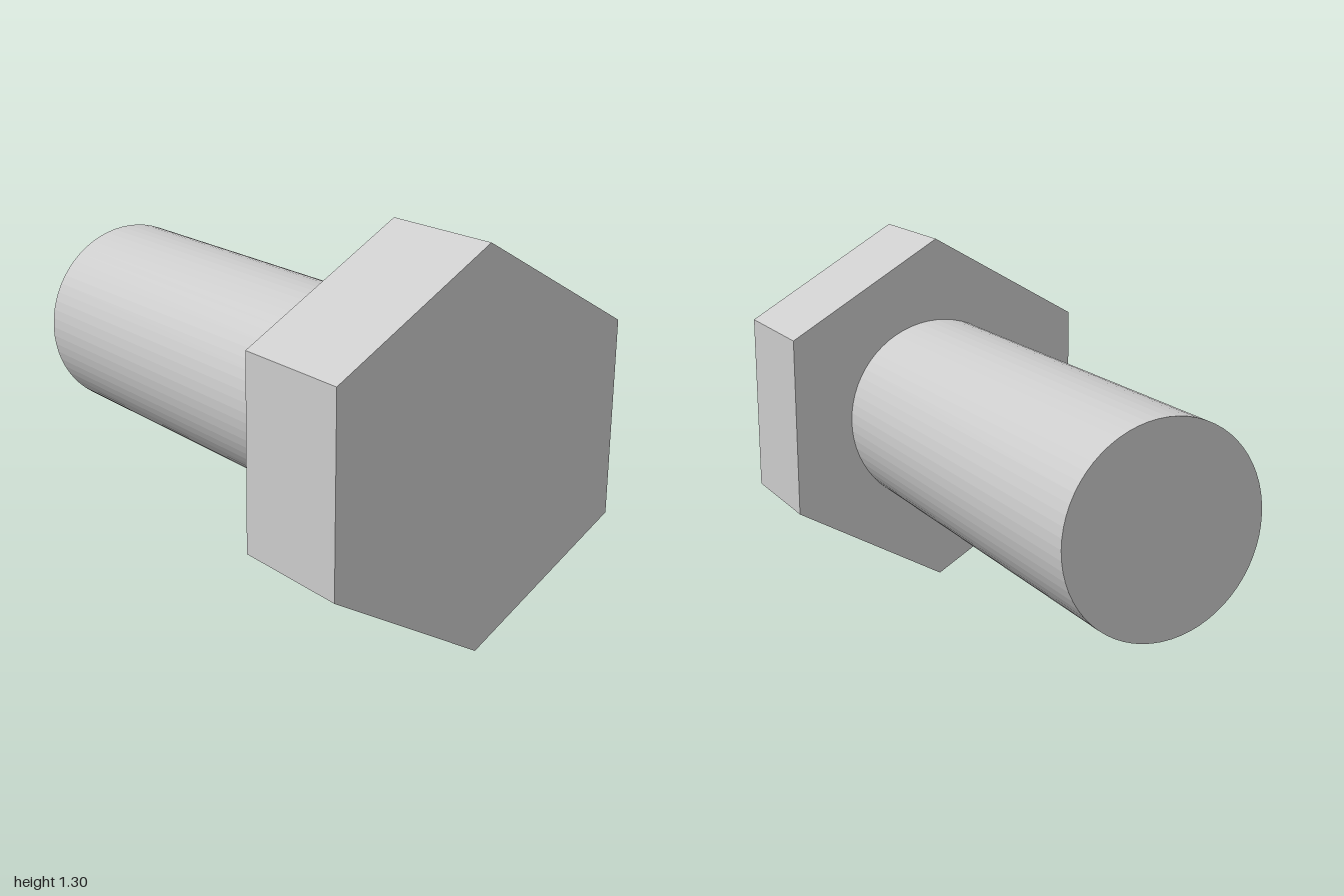
import * as THREE from 'three';

const HEAD_RADIUS = 0.652;
const SHANK_RADIUS = 0.35;
const SHOULDER_X = 0.57;

export function createModel() {
  const bolt = new THREE.Group();
  bolt.name = 'hexBolt';
  const material = new THREE.MeshStandardMaterial({ color: 0xcccccc, flatShading: true });

  // Prism lying along x from x0 to x1, with a corner pointing straight up
  function addPrism(name, radius, x0, x1, sides) {
    const geometry = new THREE.CylinderGeometry(radius, radius, x1 - x0, sides);
    geometry.rotateY(Math.PI / 2).rotateZ(-Math.PI / 2);
    const mesh = new THREE.Mesh(geometry, material);
    mesh.name = name;
    mesh.position.set((x0 + x1) / 2, HEAD_RADIUS, 0);
    bolt.add(mesh);
  }

  // Round shank, and the hexagonal head on the model's left
  addPrism('shank', SHANK_RADIUS, -1, SHOULDER_X, 64);
  addPrism('head', HEAD_RADIUS, SHOULDER_X, 1, 6);

  return bolt;
}
